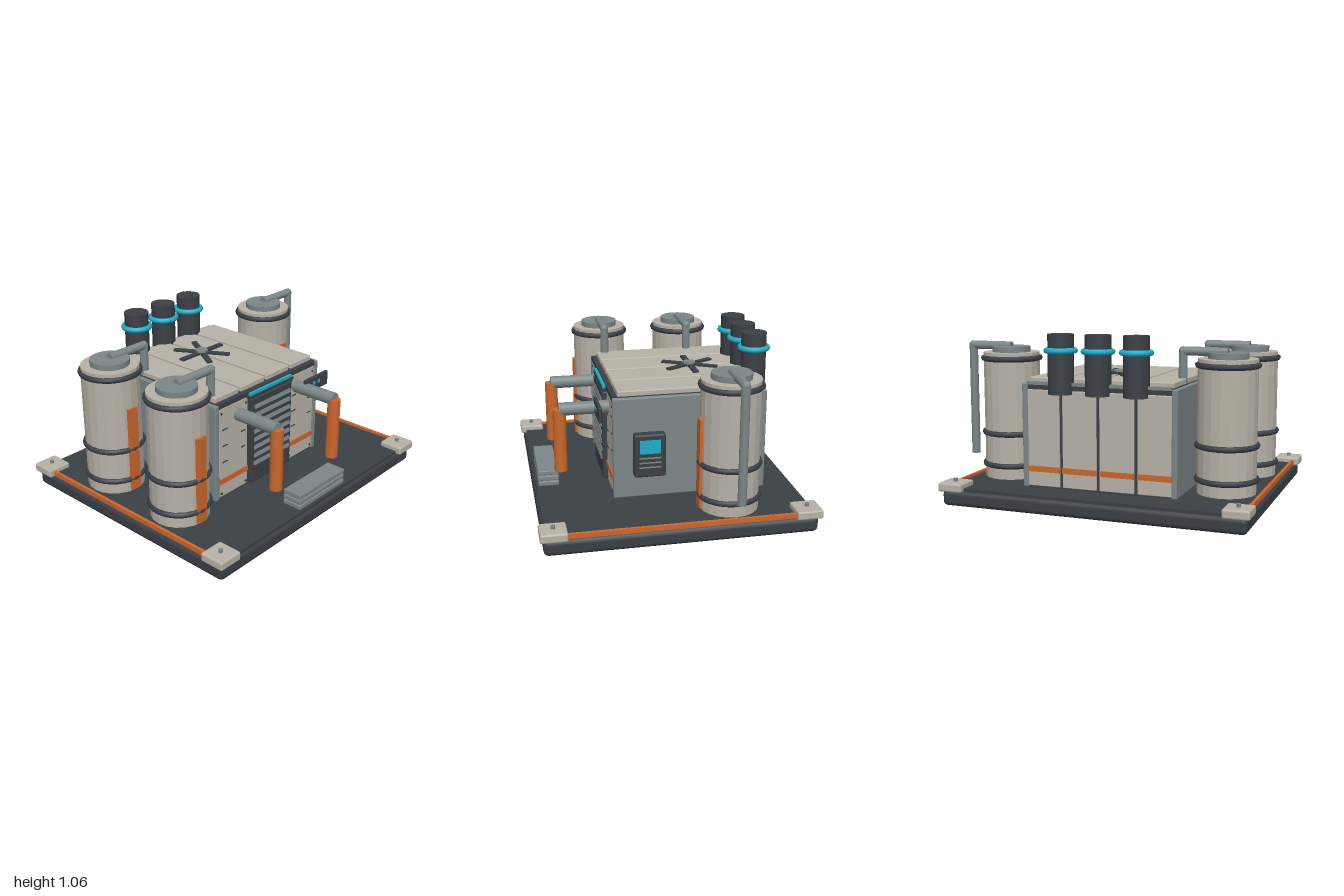
import * as THREE from 'three';
import { RoundedBoxGeometry } from 'three/addons/geometries/RoundedBoxGeometry.js';

const mat = (name, color) => Object.assign(new THREE.MeshStandardMaterial({ color }), { name });

export function createModel() {
  const cream = mat('cream', 0xb8b2a7);
  const dark = mat('charcoal', 0x3b4046);
  const steel = mat('steel', 0x7c8788);
  const orange = mat('orange', 0xcb672c);
  const cyan = mat('cyan', 0x20aeca);

  const model = new THREE.Group();
  model.name = 'processingPlant';
  const group = (name) => {
    const g = new THREE.Group();
    g.name = name;
    model.add(g);
    return g;
  };
  const add = (parent, name, geo, m) => {
    const mesh = new THREE.Mesh(geo, m);
    mesh.name = name;
    parent.add(mesh);
    return mesh;
  };
  // box given by its extents; r rounds the edges
  const box = (parent, name, m, x0, x1, y0, y1, z0, z1, r = 0) => {
    const w = x1 - x0, h = y1 - y0, d = z1 - z0;
    const geo = r ? new RoundedBoxGeometry(w, h, d, 2, r) : new THREE.BoxGeometry(w, h, d);
    const mesh = add(parent, name, geo, m);
    mesh.position.set((x0 + x1) / 2, (y0 + y1) / 2, (z0 + z1) / 2);
    return mesh;
  };
  const faceted = (geo) => {
    const g = geo.toNonIndexed();
    g.computeVertexNormals();
    return g;
  };
  // upright cylinder between two heights
  const drum = (parent, name, m, r, x, y0, y1, z, sides = 20, flat = false) => {
    const geo = new THREE.CylinderGeometry(r, r, y1 - y0, sides);
    const mesh = add(parent, name, flat ? faceted(geo) : geo, m);
    mesh.position.set(x, (y0 + y1) / 2, z);
    return mesh;
  };
  const ring = (parent, name, m, r, tube, x, y, z) => {
    const mesh = add(parent, name, new THREE.TorusGeometry(r, tube, 8, 28), m);
    mesh.rotation.x = Math.PI / 2;
    mesh.position.set(x, y, z);
  };

  // base slab, deck, side strips and corner pads
  const base = group('base');
  box(base, 'slab', dark, -0.98, 0.93, 0, 0.1, -0.82, 0.81, 0.03);
  box(base, 'deck', dark, -0.96, 0.91, 0.09, 0.115, -0.805, 0.795);
  for (const x of [-0.96, 0.91]) {
    box(base, 'edgeStrip', orange, x - 0.008, x + 0.012, 0.1, 0.13, -0.68, 0.67);
  }
  for (const x of [-0.92, 0.865]) {
    for (const z of [-0.76, 0.75]) {
      box(base, 'cornerPad', cream, x - 0.08, x + 0.08, 0.092, 0.147, z - 0.08, z + 0.08, 0.012);
      drum(base, 'padBolt', steel, 0.013, x, 0.14, 0.166, z, 8);
    }
  }

  // main housing: core, side walls, roof, back and front panels
  const house = group('housing');
  box(house, 'core', dark, -0.495, 0.445, 0.1, 0.76, -0.605, 0.325);
  box(house, 'wallRight', steel, -0.52, -0.485, 0.115, 0.757, -0.62, 0.34, 0.008);
  box(house, 'wallLeft', steel, 0.435, 0.47, 0.115, 0.757, -0.62, 0.34, 0.008);
  const seams = [-0.495, -0.265, -0.025, 0.215, 0.445];
  for (let i = 0; i < 4; i++) {
    const x0 = seams[i] + 0.01, x1 = seams[i + 1] - 0.01;
    box(house, 'roofPanel', cream, x0, x1, 0.755, 0.793, -0.575, 0.305, 0.008);
    box(house, 'backPanel', cream, x0, x1, 0.125, 0.72, -0.617, -0.6, 0.005);
    box(house, 'backStripe', orange, x0, x1, 0.215, 0.25, -0.623, -0.615);
  }
  box(house, 'backRail', steel, -0.485, 0.435, 0.75, 0.77, -0.62, -0.6);
  box(house, 'frontLintel', dark, -0.485, 0.435, 0.73, 0.76, 0.31, 0.338);
  for (const [x0, x1] of [[-0.485, -0.225], [0.175, 0.435]]) {
    box(house, 'frontPanel', cream, x0, x1, 0.125, 0.727, 0.315, 0.334, 0.005);
    box(house, 'frontStripe', orange, x0, x1, 0.218, 0.252, 0.333, 0.341);
    for (const x of [x0 + 0.02, x1 - 0.02]) {
      for (const y of [0.15, 0.695]) box(house, 'panelBolt', dark, x - 0.006, x + 0.006, y - 0.006, y + 0.006, 0.332, 0.34);
    }
    for (const y of [0.36, 0.47, 0.58]) {
      box(house, 'panelSlit', dark, x0 + 0.03, x0 + 0.075, y, y + 0.007, 0.332, 0.338);
      box(house, 'panelSlit', dark, x1 - 0.06, x1 - 0.025, y + 0.04, y + 0.047, 0.332, 0.338);
    }
  }

  // roller shutter with frame, slats and light bar
  const shutter = group('shutter');
  box(shutter, 'shutterFrame', dark, -0.215, 0.17, 0.125, 0.71, 0.32, 0.362, 0.008);
  for (let i = 0; i < 8; i++) {
    const y = 0.25 + i * 0.056;
    const slat = box(shutter, 'slat', steel, -0.195, 0.15, y, y + 0.026, 0.355, 0.369);
    slat.rotation.x = -0.2;
  }
  box(shutter, 'lightBar', cyan, -0.225, 0.175, 0.735, 0.752, 0.334, 0.356);
  box(shutter, 'lightBarHood', dark, -0.235, 0.185, 0.718, 0.735, 0.33, 0.36);

  // entry steps
  const steps = group('steps');
  for (let i = 0; i < 3; i++) {
    const y = 0.115 + i * 0.036;
    box(steps, 'step', steel, -0.25, 0.2, y, y + 0.03, 0.65, 0.78, 0.006);
  }

  // front outlet pipes
  const outlets = group('outletPipes');
  for (const x of [-0.31, 0.25]) {
    const arm = drum(outlets, 'outletArm', steel, 0.041, 0, -0.16, 0.16, 0, 14);
    arm.rotation.x = Math.PI / 2;
    arm.position.set(x, 0.642, 0.482);
    drum(outlets, 'outletDrop', orange, 0.041, x, 0.24, 0.642, 0.638, 14);
  }

  // small front control plate
  const plate = group('controlPlate');
  box(plate, 'plateBody', dark, 0.235, 0.47, 0.61, 0.707, 0.403, 0.424, 0.006);
  for (const x of [0.322, 0.368]) box(plate, 'plateLamp', cyan, x - 0.011, x + 0.011, 0.655, 0.677, 0.422, 0.428);

  // side terminal
  const terminal = group('terminal');
  box(terminal, 'terminalBody', dark, 0.465, 0.53, 0.265, 0.54, 0.025, 0.22, 0.012);
  box(terminal, 'terminalScreen', cyan, 0.529, 0.537, 0.42, 0.505, 0.06, 0.187);
  for (const y of [0.33, 0.36, 0.39]) box(terminal, 'terminalSlot', steel, 0.528, 0.534, y - 0.004, y + 0.004, 0.055, 0.19);

  // roof fan
  const fan = group('roofFan');
  fan.position.set(-0.025, 0.802, -0.245);
  drum(fan, 'fanHub', steel, 0.04, 0, -0.015, 0.02, 0, 16);
  for (let i = 0; i < 6; i++) {
    const arm = new THREE.Group();
    arm.name = 'fanArm';
    arm.rotation.y = i * Math.PI / 3;
    fan.add(arm);
    box(arm, 'fanBlade', dark, 0.03, 0.187, -0.005, 0.008, -0.018, 0.018);
  }

  // exhaust stacks
  const stacks = group('exhaustStacks');
  for (const x of [-0.265, -0.025, 0.215]) {
    drum(stacks, 'stack', dark, 0.079, x, 0.7, 1.06, -0.603, 24);
    ring(stacks, 'stackRing', cyan, 0.085, 0.018, x, 0.962, -0.603);
  }

  // storage tanks with hoops, stripe and vent pipe
  for (const [x, z] of [[-0.74, -0.325], [-0.74, 0.25], [0.69, -0.325]]) {
    const tank = group('tank');
    tank.position.set(x, 0, z);
    drum(tank, 'tankBody', cream, 0.18, 0, 0.11, 0.92, 0, 20, true);
    drum(tank, 'tankCap', steel, 0.122, 0, 0.92, 0.955, 0, 20);
    for (const y of [0.2, 0.405, 0.882]) ring(tank, 'tankHoop', dark, 0.179, 0.018, 0, y, 0);
    box(tank, 'tankStripe', orange, -0.036, 0.036, 0.125, 0.68, 0.174, 0.192);
    const arm = drum(tank, 'ventArm', steel, 0.027, 0, -0.14, 0.14, 0, 12);
    arm.rotation.z = Math.PI / 2;
    arm.position.set(0.14, 0.957, 0);
    const elbow = add(tank, 'ventElbow', new THREE.SphereGeometry(0.028, 12, 8), steel);
    elbow.position.set(0.278, 0.957, 0);
    drum(tank, 'ventDrop', steel, 0.027, 0.278, 0.24, 0.957, 0, 12);
  }
  return model;
}
